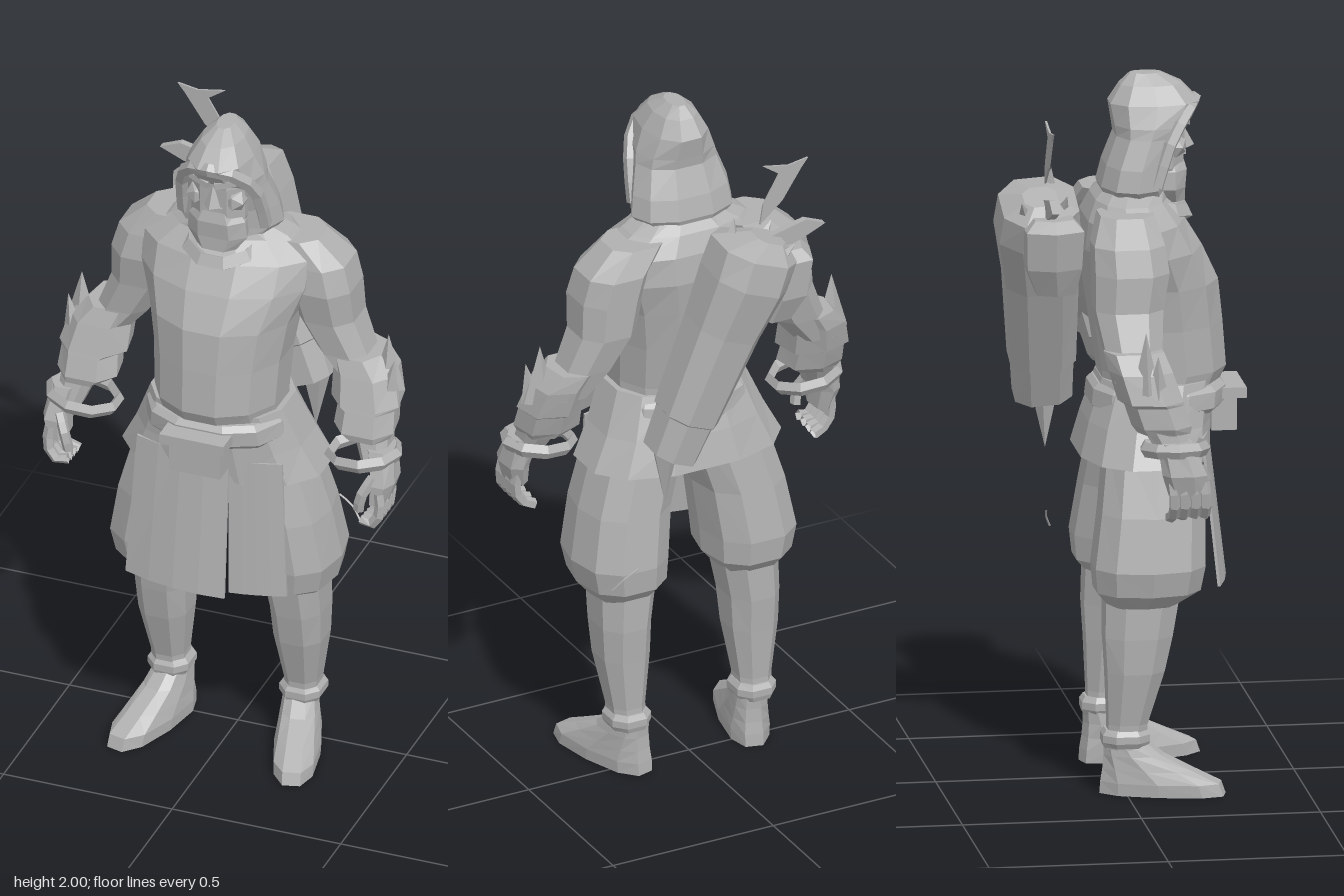
import * as THREE from 'three';

const clay = new THREE.MeshStandardMaterial({ color: 0xb0b0b0, flatShading: true, side: THREE.DoubleSide });
clay.name = 'clay grey';

// Closed skin over horizontal rings [y, centreX, centreZ, radiusX, radiusZ], listed upwards
function loft(rings, sides = 8, power = 0.8, frontPower = power) {
  const pos = [], idx = [];
  const bend = (v, e) => Math.sign(v) * Math.abs(v) ** e;
  for (const [y, cx, cz, rx, rz] of rings) {
    for (let i = 0; i < sides; i++) {
      const a = (i + 0.5) / sides * Math.PI * 2, c = Math.cos(a), e = c > 0 ? frontPower : power;
      pos.push(cx + rx * bend(Math.sin(a), e), y, cz + rz * bend(c, e));
    }
  }
  const last = rings.length - 1;
  for (let r = 0; r < last; r++) {
    for (let i = 0; i < sides; i++) {
      const a = r * sides + i, b = r * sides + (i + 1) % sides;
      idx.push(a, b, b + sides, a, b + sides, a + sides);
    }
  }
  for (const r of [0, last]) {
    const c = pos.length / 3;
    pos.push(rings[r][1], rings[r][0], rings[r][2]);
    for (let i = 0; i < sides; i++) {
      const a = r * sides + i, b = r * sides + (i + 1) % sides;
      if (r === 0) idx.push(c, b, a); else idx.push(c, a, b);
    }
  }
  const g = new THREE.BufferGeometry();
  g.setAttribute('position', new THREE.Float32BufferAttribute(pos, 3));
  g.setIndex(idx);
  g.computeVertexNormals();
  return g;
}

function add(parent, name, geo, p = [0, 0, 0], r = [0, 0, 0], s = [1, 1, 1]) {
  const m = new THREE.Mesh(geo, clay);
  m.name = name;
  m.position.set(...p);
  m.rotation.set(...r);
  m.scale.set(...s);
  parent.add(m);
}

const box = (x, y, z) => new THREE.BoxGeometry(x, y, z);
const tube = (pts, r, n = 4) => new THREE.TubeGeometry(
  new THREE.CatmullRomCurve3(pts.map(p => new THREE.Vector3(...p))), n, r, 5);
const plate = (pts, d = 0.006) => new THREE.ExtrudeGeometry(
  new THREE.Shape(pts.map(p => new THREE.Vector2(...p))), { depth: d, bevelEnabled: false });

function leg() {
  const g = new THREE.Group();
  // Baggy trouser leg gathered under the knee
  add(g, 'trouserLeg', loft([
    [0.54, 0.195, 0.045, 0.09, 0.10], [0.58, 0.195, 0.06, 0.125, 0.15], [0.65, 0.2, 0.063, 0.135, 0.16],
    [0.8, 0.178, 0.075, 0.13, 0.15], [0.98, 0.125, 0.085, 0.13, 0.135]], 10));
  add(g, 'shin', loft([
    [0.13, 0.195, 0, 0.05, 0.058], [0.2, 0.197, 0.005, 0.052, 0.058], [0.35, 0.2, 0.025, 0.075, 0.085],
    [0.45, 0.2, 0.033, 0.08, 0.1], [0.57, 0.19, 0.045, 0.09, 0.11]], 8));
  add(g, 'ankleBand', loft([
    [0.135, 0.195, 0, 0.055, 0.065], [0.15, 0.195, 0, 0.064, 0.07], [0.17, 0.195, 0, 0.064, 0.07],
    [0.185, 0.195, 0, 0.052, 0.06]], 8));
  add(g, 'shoe', loft([
    [0, 0, 0.105, 0.064, 0.18], [0.035, 0, 0.1, 0.066, 0.172], [0.07, 0, 0.065, 0.06, 0.13],
    [0.11, 0, 0.025, 0.054, 0.085], [0.15, 0, 0, 0.048, 0.06]], 10), [0.188, 0, 0], [0, 0.27, 0]);
  return g;
}

function arm() {
  const g = new THREE.Group();
  add(g, 'upperArm', loft([
    [1.22, 0.385, 0.01, 0.068, 0.075], [1.3, 0.325, 0, 0.078, 0.085], [1.4, 0.275, -0.005, 0.09, 0.1],
    [1.5, 0.26, 0.005, 0.1, 0.11], [1.575, 0.24, 0, 0.1, 0.105], [1.645, 0.17, 0.005, 0.09, 0.08]], 8));
  add(g, 'forearm', loft([
    [1.0, 0.455, 0.11, 0.038, 0.045], [1.12, 0.425, 0.06, 0.06, 0.065], [1.24, 0.405, 0.02, 0.07, 0.075]], 8));
  // Layered bracer with pointed elbow fins
  add(g, 'bracer', loft([
    [1.08, 0.42, 0.075, 0.068, 0.075], [1.1, 0.41, 0.07, 0.09, 0.085], [1.16, 0.41, 0.05, 0.085, 0.085],
    [1.17, 0.403, 0.04, 0.102, 0.092], [1.25, 0.39, 0.015, 0.092, 0.09], [1.3, 0.36, 0, 0.075, 0.085]], 7));
  add(g, 'elbowFin', new THREE.ConeGeometry(0.055, 0.17, 4), [0.455, 1.285, 0.02], [0, 0, 0], [0.9, 1, 0.7]);
  add(g, 'smallFin', new THREE.ConeGeometry(0.04, 0.12, 4), [0.475, 1.25, 0.05], [0, 0, -0.15], [0.8, 1, 0.8]);
  // Loose wrist hoop
  add(g, 'wristHoop', new THREE.TorusGeometry(0.092, 0.013, 4, 9), [0.415, 1.03, 0.105], [Math.PI / 2, 0.12, 0], [1.08, 0.95, 1.6]);
  add(g, 'palm', loft([
    [0.91, 0.475, 0.135, 0.028, 0.055], [0.97, 0.485, 0.125, 0.036, 0.064], [1.06, 0.465, 0.1, 0.042, 0.05]], 7));
  for (let i = 0; i < 4; i++) {
    const z = 0.09 + i * 0.029;
    add(g, 'finger', tube([[0.487, 0.95, z], [0.492, 0.89, z + 0.005], [0.465, 0.85, z + 0.004], [0.435, 0.838 + i * 0.006, z]], 0.016));
  }
  add(g, 'thumb', tube([[0.465, 0.99, 0.165], [0.44, 0.94, 0.19], [0.43, 0.89, 0.185]], 0.016));
  return g;
}

function head() {
  const g = new THREE.Group();
  g.name = 'head';
  // Hood with a swept cap above a wide drape behind the cheeks
  add(g, 'hood', loft([
    [1.63, 0, 0.06, 0.1, 0.09], [1.69, 0, 0.045, 0.155, 0.095], [1.75, 0, 0.055, 0.146, 0.09],
    [1.83, 0, 0.085, 0.122, 0.09], [1.86, 0, 0.095, 0.116, 0.105], [1.92, 0, 0.108, 0.09, 0.13],
    [1.97, 0, 0.1, 0.06, 0.09], [2.0, 0, 0.085, 0.025, 0.045]], 10, 0.9));
  add(g, 'hoodBrim', tube([[-0.12, 1.7, 0.1], [-0.11, 1.82, 0.14], [-0.075, 1.89, 0.185], [0, 1.92, 0.222],
    [0.075, 1.89, 0.185], [0.11, 1.82, 0.14], [0.12, 1.7, 0.1]], 0.02, 10));
  add(g, 'face', loft([
    [1.66, 0, 0.11, 0.06, 0.065], [1.74, 0, 0.115, 0.085, 0.075], [1.84, 0, 0.115, 0.085, 0.08],
    [1.93, 0, 0.12, 0.06, 0.085]], 8));
  add(g, 'nose', new THREE.ConeGeometry(0.025, 0.07, 4), [0, 1.82, 0.192], [-0.15, 0, 0]);
  add(g, 'mouth', box(0.055, 0.014, 0.02), [0, 1.775, 0.185]);
  for (const s of [-1, 1]) {
    add(g, 'brow', box(0.06, 0.018, 0.035), [s * 0.036, 1.865, 0.185], [0, s * 0.25, s * 0.25]);
    add(g, 'cheek', new THREE.IcosahedronGeometry(0.035, 0), [s * 0.055, 1.8, 0.16]);
  }
  add(g, 'beard', loft([
    [1.64, 0, 0.15, 0.06, 0.045], [1.68, 0, 0.14, 0.09, 0.055], [1.73, 0, 0.14, 0.085, 0.06],
    [1.765, 0, 0.135, 0.06, 0.055]], 7));
  return g;
}

function quiver() {
  const g = new THREE.Group();
  g.name = 'quiver';
  const base = new THREE.Vector3(0.155, 1.06, -0.18), top = new THREE.Vector3(-0.085, 1.66, -0.225);
  const dir = top.clone().sub(base), L = dir.length();
  const body = new THREE.Group();
  body.position.copy(base);
  body.quaternion.setFromUnitVectors(new THREE.Vector3(0, 1, 0), dir.normalize());
  g.add(body);
  add(body, 'quiverBody', loft([
    [0, 0, 0, 0.072, 0.085], [0.12, 0, 0, 0.08, 0.09], [0.125, 0, 0, 0.088, 0.097], [0.4, 0, 0, 0.105, 0.108],
    [0.56, 0, -0.005, 0.122, 0.122], [L, 0, 0, 0.125, 0.112], [L + 0.04, -0.03, 0, 0.05, 0.05]], 8));
  for (const [x, z] of [[-0.06, 0.06], [-0.07, -0.05], [0.06, 0.04]])
    add(body, 'arrowTuft', new THREE.ConeGeometry(0.03, 0.09, 4), [x, L + 0.02, z], [z * 4, 0, -x * 4]);
  // Side pocket beside the mouth
  add(g, 'sidePocket', loft([
    [1.42, -0.16, -0.19, 0.05, 0.06], [1.5, -0.185, -0.2, 0.065, 0.085], [1.61, -0.2, -0.2, 0.07, 0.09],
    [1.64, -0.19, -0.2, 0.05, 0.06]], 6));
  // Hanging tip and loose cord
  add(g, 'quiverTip', new THREE.ConeGeometry(0.04, 0.17, 5), [0.165, 0.985, -0.17], [Math.PI, 0, 0]);
  add(g, 'cordEnd', tube([[0.24, 0.7, -0.155], [0.28, 0.675, -0.15], [0.31, 0.64, -0.135]], 0.003));
  // Flat fletchings
  add(g, 'tallFeather', plate([[-0.11, 1.72], [-0.18, 1.78], [-0.24, 1.87], [-0.26, 1.895], [-0.2, 1.885],
    [-0.12, 1.9], [-0.17, 1.865], [-0.12, 1.78]]), [0, 0, -0.213]);
  add(g, 'sideFeather', plate([[-0.14, 1.62], [-0.24, 1.65], [-0.31, 1.68], [-0.25, 1.705], [-0.14, 1.68]], 0.02), [0, 0, -0.22]);
  return g;
}

export function createModel() {
  const model = new THREE.Group();
  model.name = 'hoodedArcher';

  // Tunic with a rounded chest and broad flat back
  add(model, 'torso', loft([
    [1.08, 0, 0.11, 0.18, 0.155], [1.17, 0, 0.13, 0.185, 0.18], [1.3, 0, 0.115, 0.192, 0.185],
    [1.42, 0, 0.1, 0.212, 0.187], [1.52, 0, 0.07, 0.25, 0.17], [1.6, 0, 0.05, 0.255, 0.14],
    [1.655, 0, 0.04, 0.18, 0.105], [1.7, 0, 0.06, 0.09, 0.08]], 12, 0.8, 1));
  add(model, 'collar', new THREE.TorusGeometry(0.105, 0.022, 4, 10), [0, 1.635, 0.085], [Math.PI / 2 + 0.3, 0, 0], [1, 1.1, 1.2]);

  // Flared hem, belt and buckle
  add(model, 'tunicHem', loft([
    [0.935, 0, 0.07, 0.3, 0.185], [1.03, 0, 0.085, 0.25, 0.175], [1.15, 0, 0.11, 0.2, 0.16]], 12));
  add(model, 'belt', loft([
    [1.06, 0, 0.11, 0.2, 0.175], [1.075, 0, 0.11, 0.212, 0.19], [1.12, 0, 0.115, 0.205, 0.19],
    [1.135, 0, 0.115, 0.19, 0.175]], 12));
  add(model, 'buckle', box(0.15, 0.11, 0.07), [0, 1.045, 0.295]);
  add(model, 'buckleRim', box(0.19, 0.03, 0.07), [0, 1.1, 0.32]);

  // Curved front apron in two overlapping panels: a long loose one and one lying on the left thigh
  for (const [name, x0, x1, flare] of [['looseApron', -0.215, 0.07, 0.05], ['thighApron', 0.07, 0.215, 0.015]]) {
    const apron = new THREE.BoxGeometry(1, 0.42, 0.008, 4, 2, 1);
    const p = apron.attributes.position;
    for (let i = 0; i < p.count; i++) {
      const t = 0.5 - p.getY(i) / 0.42;
      const x = (x0 + (x1 - x0) * (p.getX(i) + 0.5)) * (1 + 0.08 * t);
      p.setXYZ(i, x, p.getY(i) + 0.795, p.getZ(i) + 0.25 + flare * t - 0.8 * x * x);
    }
    add(model, name, apron);
  }

  // Mirrored limbs
  for (const s of [1, -1]) {
    for (const [name, make] of [['Leg', leg], ['Arm', arm]]) {
      const limb = make();
      limb.name = (s > 0 ? 'left' : 'right') + name;
      limb.scale.x = s;
      model.add(limb);
    }
  }

  model.add(head(), quiver());
  return model;
}
